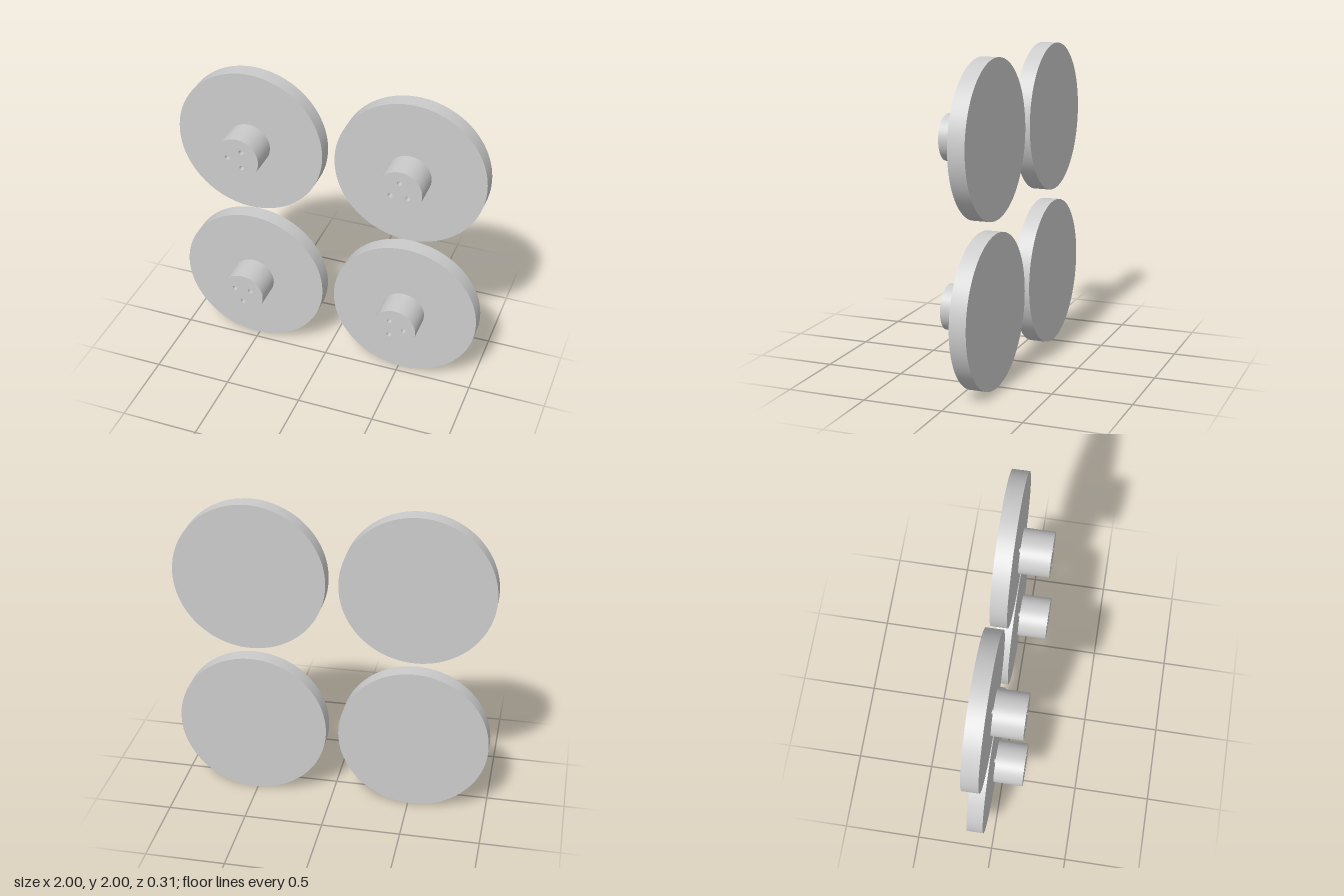
import * as THREE from 'three';

const material = new THREE.MeshStandardMaterial({ color: 0xcccccc });
const SEG = 96;

const DISC_R = 0.48, DISC_BACK = -0.155, DISC_FRONT = -0.05;
const HUB_R = 0.141, HUB_BACK = -0.035, HUB_FRONT = 0.155;
const SHAFT_R = 0.015;
const BORE_R = 0.016, BORE_CIRCLE = 0.063, BORE_DEPTH = 0.05;

function mesh(name, geometry) {
  const m = new THREE.Mesh(geometry, material);
  m.name = name;
  return m;
}

// cylinder along z between two depths
function rod(r, back, front, segments, open = false) {
  return new THREE.CylinderGeometry(r, r, front - back, segments, 1, open)
    .rotateX(Math.PI / 2)
    .translate(0, 0, (front + back) / 2);
}

// hub with three blind screw bores in its front face
function createHub() {
  const hub = new THREE.Group();
  hub.name = 'motorHub';
  hub.add(mesh('hubWall', rod(HUB_R, HUB_BACK, HUB_FRONT, SEG, true)));
  hub.add(mesh('hubBack', new THREE.CircleGeometry(HUB_R, SEG).rotateY(Math.PI).translate(0, 0, HUB_BACK)));

  const face = new THREE.Shape().absarc(0, 0, HUB_R, 0, Math.PI * 2);
  for (let i = 0; i < 3; i++) {
    const a = (i * Math.PI * 2) / 3;
    const x = BORE_CIRCLE * Math.cos(a), y = BORE_CIRCLE * Math.sin(a);
    face.holes.push(new THREE.Path().absarc(x, y, BORE_R, 0, Math.PI * 2, true));

    // floor then wall, wound so the inside of the bore shows
    const profile = [[0, 0], [BORE_R, 0], [BORE_R, 0], [BORE_R, BORE_DEPTH]]
      .map(([r, h]) => new THREE.Vector2(r, h));
    const floor = new THREE.CircleGeometry(BORE_R, 24).translate(x, y, HUB_FRONT - BORE_DEPTH);
    const wall = new THREE.LatheGeometry(profile.slice(2).reverse(), 24)
      .rotateX(Math.PI / 2)
      .translate(x, y, HUB_FRONT - BORE_DEPTH);
    hub.add(mesh('boreFloor', floor), mesh('boreWall', wall));
  }
  hub.add(mesh('hubFace', new THREE.ShapeGeometry(face, SEG / 2).translate(0, 0, HUB_FRONT)));
  return hub;
}

// one rotor: wide disc, thin shaft and hub, turned about its own axis
function createRotor(name, x, y, turn) {
  const rotor = new THREE.Group();
  rotor.name = name;
  rotor.add(mesh('rotorDisc', rod(DISC_R, DISC_BACK, DISC_FRONT, SEG)));
  rotor.add(mesh('shaft', rod(SHAFT_R, DISC_FRONT, HUB_BACK, 24, true)));
  rotor.add(createHub());
  rotor.position.set(x, y, 0);
  rotor.rotation.z = turn;
  return rotor;
}

export function createModel() {
  const model = new THREE.Group();
  model.name = 'rotorSet';
  // each rotor is turned a quarter from its neighbour
  model.add(
    createRotor('lowerLeftRotor', 0.52, 0.48, 0),
    createRotor('upperLeftRotor', 0.52, 1.52, Math.PI / 2),
    createRotor('upperRightRotor', -0.52, 1.52, Math.PI),
    createRotor('lowerRightRotor', -0.52, 0.48, -Math.PI / 2),
  );
  return model;
}
